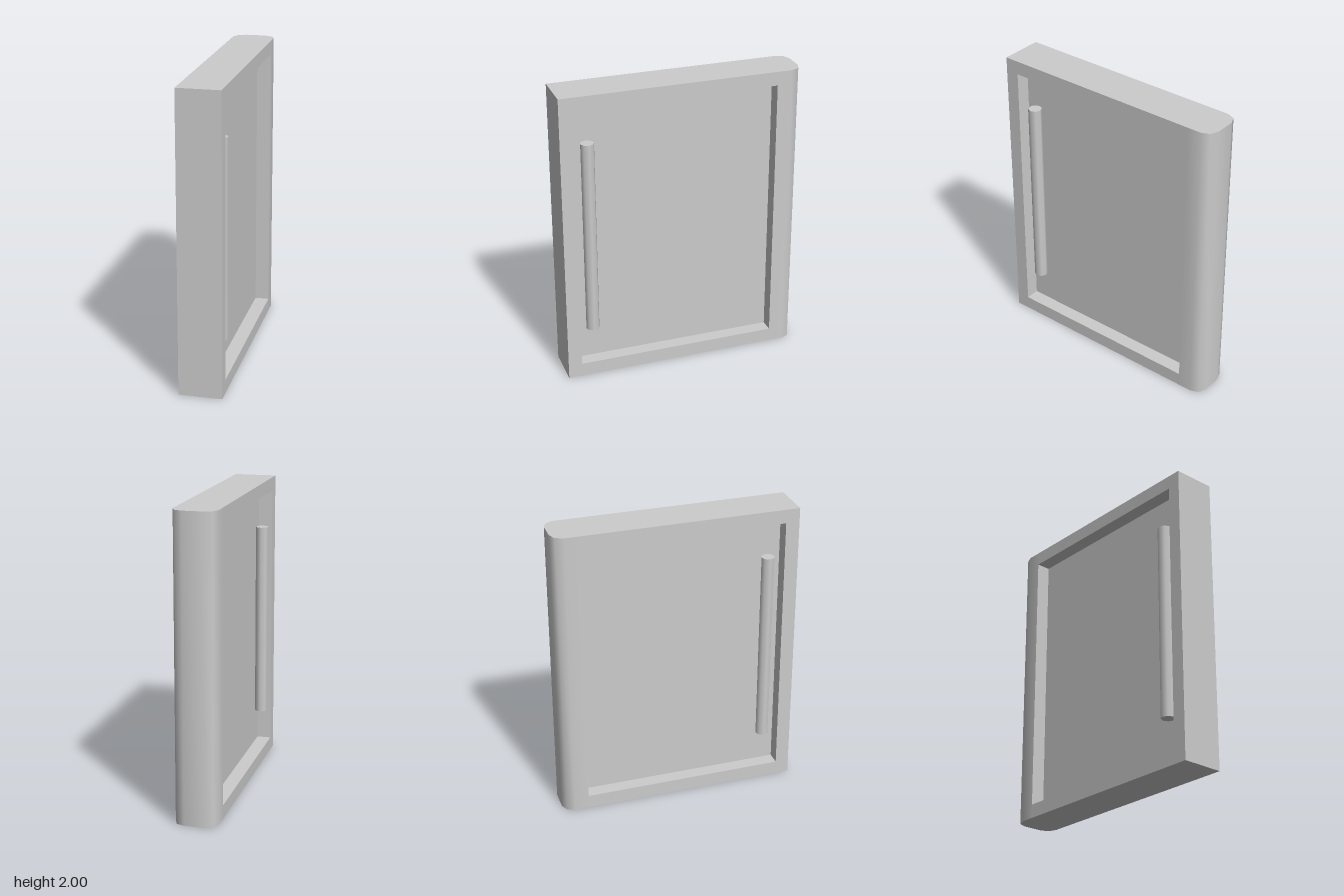
import * as THREE from 'three';
import { toCreasedNormals } from 'three/addons/utils/BufferGeometryUtils.js';

const H = 2, HALF_X = 0.143, HALF_Z = 0.812;
const OPEN = { front: 0.72, back: -0.64, bottom: 0.093, top: 1.907 };
const PANEL_T = 0.096;

const material = new THREE.MeshStandardMaterial({ color: 0xcccccc });

function add(group, name, geometry, x = 0, y = 0, z = 0) {
  const mesh = new THREE.Mesh(geometry, material);
  mesh.name = name;
  mesh.position.set(x, y, z);
  group.add(mesh);
}

const shapeOf = (pts) => new THREE.Shape(pts.map(([a, b]) => new THREE.Vector2(a, b)));

export function createModel() {
  const door = new THREE.Group();
  door.name = 'slidingDoor';

  // Front stile with top and bottom rails: a C outline in z and y, extruded across x
  const { front, back, bottom, top } = OPEN;
  const rails = new THREE.ExtrudeGeometry(shapeOf([
    [back, 0], [HALF_Z, 0], [HALF_Z, H], [back, H],
    [back, top], [front, top], [front, bottom], [back, bottom],
  ]), { depth: HALF_X * 2, bevelEnabled: false });
  rails.rotateY(-Math.PI / 2);
  add(door, 'frontStileAndRails', rails, HALF_X);

  // Back stile with two rounded edges: a plan outline in x and -z, extruded up
  const r = 0.076, cx = HALF_X - r, cz = HALF_Z - r;
  const plan = [[-HALF_X, -back], [HALF_X, -back]];
  for (const [sx, start] of [[1, 0], [-1, Math.PI / 2]]) {
    for (let i = 0; i <= 2; i++) {
      const a = start + i * Math.PI / 4;
      plan.push([sx * cx + r * Math.cos(a), cz + r * Math.sin(a)]);
    }
  }
  const stile = new THREE.ExtrudeGeometry(shapeOf(plan), { depth: H, bevelEnabled: false });
  stile.rotateX(-Math.PI / 2);
  add(door, 'roundedBackStile', toCreasedNormals(stile, 0.9));

  // Recessed centre panel
  add(door, 'panel', new THREE.BoxGeometry(PANEL_T, top - bottom, front - back),
    0, (top + bottom) / 2, (front + back) / 2);

  // A bar handle in the recess on each side
  for (const [side, name] of [[1, 'leftHandle'], [-1, 'rightHandle']]) {
    add(door, name, new THREE.CylinderGeometry(0.045, 0.045, 1.333, 8), side * 0.095, 1, 0.623);
  }
  return door;
}
